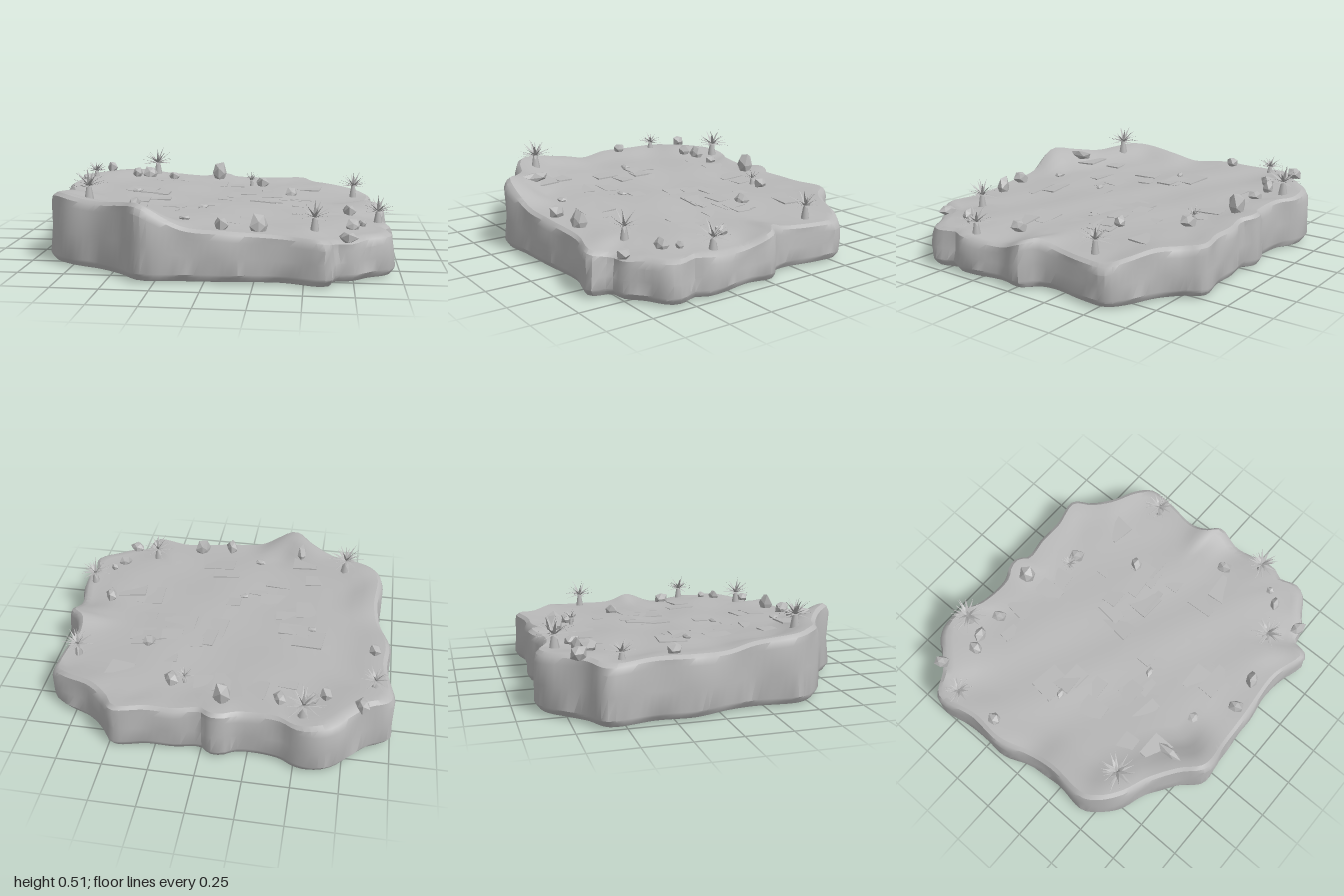
import * as THREE from 'three';
import { toCreasedNormals, mergeGeometries } from 'three/addons/utils/BufferGeometryUtils.js';

// Plateau rim: x, rim height, z
const RIM = [
  [-0.70, 0.32, -0.86], [-0.60, 0.31, -0.89], [-0.52, 0.30, -0.88], [-0.42, 0.30, -0.83], [-0.20, 0.29, -0.82],
  [-0.12, 0.30, -0.86], [-0.05, 0.30, -0.86], [0.0, 0.29, -0.82], [0.15, 0.28, -0.84], [0.30, 0.28, -0.84],
  [0.48, 0.28, -0.87], [0.55, 0.27, -0.78], [0.66, 0.27, -0.69], [0.82, 0.25, -0.62], [0.90, 0.23, -0.55],
  [0.90, 0.23, -0.40], [0.87, 0.24, -0.20], [0.89, 0.27, -0.10], [0.96, 0.26, -0.03], [0.94, 0.21, 0.12],
  [0.97, 0.22, 0.30], [0.97, 0.23, 0.40], [0.94, 0.23, 0.46], [0.97, 0.23, 0.56], [0.95, 0.23, 0.62],
  [0.84, 0.23, 0.69], [0.76, 0.22, 0.76], [0.67, 0.22, 0.78], [0.63, 0.24, 0.88], [0.40, 0.25, 0.83],
  [0.10, 0.27, 0.85], [-0.12, 0.29, 0.86], [-0.34, 0.40, 0.87], [-0.45, 0.39, 0.77], [-0.60, 0.37, 0.67],
  [-0.75, 0.38, 0.61], [-0.85, 0.39, 0.54], [-0.91, 0.38, 0.45], [-0.90, 0.35, 0.20], [-0.92, 0.32, 0.05],
  [-0.98, 0.33, -0.15], [-0.97, 0.33, -0.35], [-1.0, 0.32, -0.60], [-0.88, 0.33, -0.68], [-0.80, 0.33, -0.76],
].map((p) => new THREE.Vector3(...p));

const N = 180;
const outline = new THREE.CatmullRomCurve3(RIM, true, 'centripetal').getSpacedPoints(N).slice(0, N);

let seed = 11;
const rand = () => (seed = (seed * 16807) % 2147483647) / 2147483647;
const spread = (a) => (rand() * 2 - 1) * a;

// Ground level at a point whose distance out to the rim is t (0 to 1)
function level(x, z, t, rim) {
  const hill = 0.05 * Math.exp(-((x + 0.62) ** 2 + (z - 0.68) ** 2) / 0.08);
  const ripple = 0.005 * Math.sin(x * 9 + z * 4) + 0.004 * Math.sin(z * 15 - x * 6);
  const floor = 0.272 - 0.045 * x + hill + ripple;
  return THREE.MathUtils.lerp(floor, rim, THREE.MathUtils.smoothstep(t, 0.72, 0.96));
}

function groundAt(x, z) {
  const r = Math.hypot(x, z);
  let best = outline[0], bestDot = -2;
  for (const p of outline) {
    const dot = (p.x * x + p.z * z) / (Math.hypot(p.x, p.z) * r || 1);
    if (dot > bestDot) { bestDot = dot; best = p; }
  }
  return level(x, z, Math.min(1, r / Math.hypot(best.x, best.z)), best.y);
}

// Closed rock slab from rings running from the underside up the wall to the middle of the top
function slabGeometry() {
  const rings = [
    () => [0.5, 0.004], () => [0.955, 0.006], () => [0.975, 0.012], () => [0.993, 0.036],
    (p, i) => [0.998 + 0.004 * Math.sin(i * 0.9), 0.05],
    (p, i) => [0.992 + 0.008 * Math.sin(i * 0.71), p.y * 0.5],
    (p, i) => [0.988 + 0.008 * Math.sin(i * 0.53 + 1), p.y - 0.05],
    (p) => [0.979, p.y - 0.016],
  ];
  const tops = [0.955, 0.92, 0.87, 0.81, 0.74, 0.65, 0.55, 0.44, 0.33, 0.22, 0.1];
  for (const t of tops) rings.push((p) => [t, level(p.x * t, p.z * t, t, p.y)]);

  const pos = [0, 0.004, 0], index = [];
  for (const ring of rings) {
    outline.forEach((p, i) => {
      const [s, y] = ring(p, i);
      pos.push(p.x * s, y, p.z * s);
    });
  }
  const last = pos.length / 3;
  pos.push(0, level(0, 0, 0, 0), 0);
  const at = (k, i) => 1 + k * N + (i % N);
  for (let i = 0; i < N; i++) {
    index.push(0, at(0, i), at(0, i + 1));
    for (let k = 0; k < rings.length - 1; k++) {
      const a = at(k, i), b = at(k, i + 1), c = at(k + 1, i), d = at(k + 1, i + 1);
      index.push(a, c, b, b, c, d);
    }
    index.push(at(rings.length - 1, i), last, at(rings.length - 1, i + 1));
  }
  const g = new THREE.BufferGeometry();
  g.setAttribute('position', new THREE.Float32BufferAttribute(pos, 3));
  g.setIndex(index);
  return toCreasedNormals(g, 0.6);
}

// Faceted stone with corners pushed in and out
function stoneGeometry(k) {
  const g = new THREE.IcosahedronGeometry(1, 0);
  const p = g.attributes.position, v = new THREE.Vector3();
  for (let i = 0; i < p.count; i++) {
    v.fromBufferAttribute(p, i);
    v.multiplyScalar(1 + 0.22 * Math.sin(v.x * 5 + v.y * 7 + v.z * 3 + k * 2.1));
    p.setXYZ(i, v.x, v.y, v.z);
  }
  g.computeVertexNormals();
  return g;
}

// Pointed leaf along +y, flattened and drooping toward +z
function leafGeometry(length, width) {
  const g = new THREE.CylinderGeometry(0.0005, width * 0.5, length, 4, 3);
  g.translate(0, length / 2, 0);
  const p = g.attributes.position;
  for (let i = 0; i < p.count; i++) {
    const t = p.getY(i) / length;
    const swell = 1 + 0.9 * Math.sin(Math.PI * Math.min(1, t * 1.3));
    p.setXYZ(i, p.getX(i) * swell, p.getY(i), p.getZ(i) * 0.4 + length * 0.12 * t * t);
  }
  return toCreasedNormals(g, 0.5);
}

// Spiky plant: tapered stem with a burst of leaves
function plantGeometry(radius, height) {
  const stemTop = height * 0.4;
  const stem = new THREE.CylinderGeometry(radius * 0.13, radius * 0.3, stemTop + 0.03, 7);
  stem.translate(0, (stemTop - 0.03) / 2, 0);
  const parts = [stem.toNonIndexed()];
  const count = 26;
  for (let i = 0; i < count; i++) {
    const tilt = 0.12 + 1.45 * Math.sqrt(i / count) + spread(0.1);
    const reach = THREE.MathUtils.lerp(height - stemTop, radius, Math.sin(tilt)) * (0.85 + 0.25 * rand());
    const leaf = leafGeometry(reach, radius * 0.13);
    leaf.rotateX(tilt);
    leaf.rotateY(i * 2.4 + spread(0.2));
    leaf.translate(0, stemTop, 0);
    parts.push(leaf);
  }
  return mergeGeometries(parts);
}

export function createModel() {
  const model = new THREE.Group();
  const stoneGrey = new THREE.MeshStandardMaterial({ color: 0xb8b8b8 });
  stoneGrey.name = 'stone grey';
  const add = (geometry, name, x = 0, y = 0, z = 0) => {
    const mesh = new THREE.Mesh(geometry, stoneGrey);
    mesh.name = name;
    mesh.position.set(x, y, z);
    model.add(mesh);
    return mesh;
  };

  add(slabGeometry(), 'groundSlab');

  // Loose stones: x, z, half width, half height, half depth
  [
    [-0.10, -0.70, 0.05, 0.075, 0.05], [-0.40, -0.66, 0.038, 0.035, 0.04], [-0.56, -0.66, 0.045, 0.045, 0.04],
    [-0.64, -0.61, 0.035, 0.04, 0.045], [0.20, -0.58, 0.045, 0.045, 0.04], [0.40, -0.27, 0.035, 0.035, 0.045],
    [-0.88, -0.23, 0.035, 0.035, 0.04], [0.74, 0.15, 0.038, 0.045, 0.042], [0.75, 0.53, 0.038, 0.035, 0.035],
    [0.80, 0.46, 0.024, 0.025, 0.024], [0.08, 0.75, 0.04, 0.05, 0.042], [0.27, 0.72, 0.045, 0.06, 0.045],
    [-0.39, 0.65, 0.028, 0.03, 0.085], [-0.83, -0.70, 0.04, 0.045, 0.04], [-0.52, -0.06, 0.03, 0.014, 0.025],
    [-0.13, 0.61, 0.035, 0.014, 0.03], [0.72, 0.73, 0.05, 0.035, 0.035], [-0.08, 0.24, 0.03, 0.012, 0.025],
  ].forEach(([x, z, w, h, d], i) => {
    add(stoneGeometry(i), 'stone', x, groundAt(x, z) + h * 0.45, z).scale.set(w, h, d);
  });

  // Spiky plants: x, z, leaf radius, top height
  [
    [-0.53, -0.77, 0.11, 0.48], [-0.89, -0.50, 0.085, 0.41], [0.78, -0.40, 0.09, 0.41], [0.89, 0.32, 0.095, 0.38],
    [0.55, 0.62, 0.095, 0.41], [-0.67, 0.50, 0.105, 0.53], [0.13, -0.57, 0.055, 0.36],
  ].forEach(([x, z, r, top]) => {
    const y = groundAt(x, z);
    add(plantGeometry(r, top - y), 'spikyPlant', x, y, z);
  });

  // Thin cracked flags, each tipped so one edge stands just proud of the ground
  for (let i = 0; i < 34; i++) {
    const x = spread(0.65), z = spread(0.6);
    const flag = add(new THREE.BoxGeometry(0.06 + rand() * 0.14, 0.008, 0.06 + rand() * 0.12), 'crackedFlag', x, groundAt(x, z) - 0.003, z);
    flag.rotation.set(spread(0.06), spread(0.15), spread(0.06) - 0.045);
  }
  return model;
}
